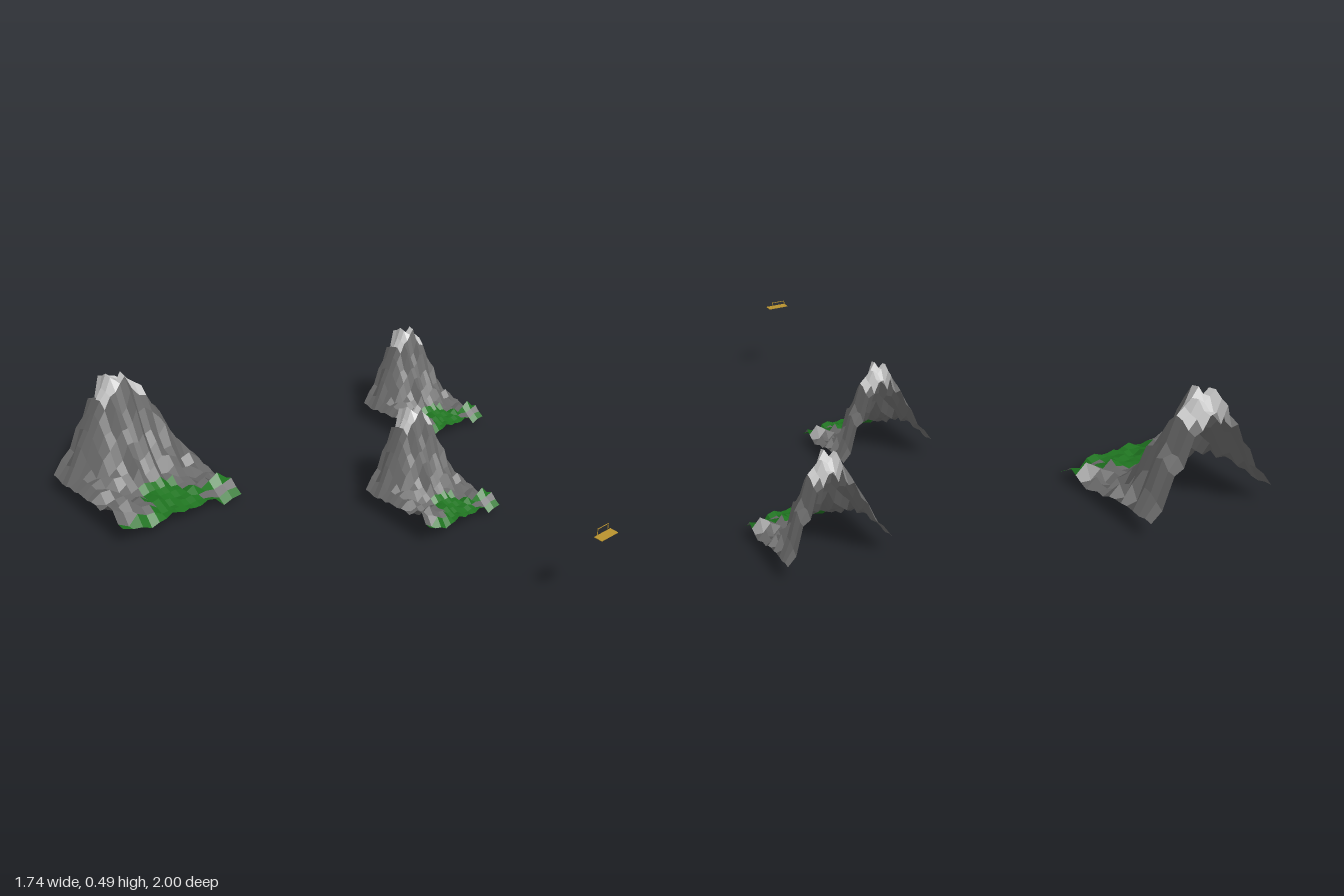
import * as THREE from 'three';

const N = 16; // cells along each side of a mountain
const COLORS = { rock: 0x696969, meadow: 0x1f7420, snowCap: 0xcccccc };

// ridge line from left to right, and how it falls away from back to front
const RIDGE = [[-1, 0.13], [-0.84, 0.28], [-0.73, 0.4], [-0.58, 0.55], [-0.43, 0.67], [-0.32, 0.78], [-0.2, 0.86],
  [-0.08, 1], [0, 0.93], [0.09, 1], [0.26, 0.9], [0.45, 0.79], [0.52, 0.65], [0.7, 0.53], [0.84, 0.31], [1, 0.13]];
const FALL = [[-1, 0.85], [-0.75, 0.95], [-0.6, 1], [-0.45, 0.88], [-0.3, 0.63], [-0.18, 0.44],
  [0, 0.27], [0.15, 0.1], [0.35, 0.03], [1, 0]];

function sample(table, t) {
  for (let i = 1; i < table.length; i++) {
    const [a, p] = table[i - 1], [b, q] = table[i];
    if (t <= b) return p + (q - p) * Math.max(0, (t - a) / (b - a));
  }
  return table[table.length - 1][1];
}

function hash(i, j) {
  const s = Math.sin(i * 127.1 + j * 311.7 + 5.3) * 43758.5453;
  return (s - Math.floor(s)) * 2 - 1;
}

// grid lines run closer together near the summit
function across(i) {
  const t = (i / N) * 2 - 1;
  return t * (0.65 + 0.35 * Math.abs(t));
}
const along = (j) => (j / N) * 2 - 1;

// relative height (0..1) at grid corner i, j
function height(i, j) {
  const u = across(i), v = along(j);
  const side = Math.min(1, Math.abs(u) * 1.3) ** 2;
  const knoll = Math.exp(-(((v - 0.68) / 0.18) ** 2)) * 0.13 * side * (u < 0 ? 1 : 0.6);
  const low = 0.13 - 0.05 * u - 0.04 * Math.max(0, v) + knoll + 0.02 * hash(i, j);
  const fall = sample(FALL, v + 0.08 * hash(i, 40));
  const ridge = sample(RIDGE, u * (1 + 0.06 * (1 + hash(j, 2))));
  const rough = Math.abs(u) === 1 || fall > 0.95 ? 0.015 : v > 0.2 ? 0.012 + 0.05 * side : 0.05;
  return Math.min(1, Math.max(0, low + (ridge - low) * fall + rough * hash(j, i + 9)));
}

function ground(i, j, h) {
  const u = across(i + 0.5), v = along(j + 0.5);
  if (h > 0.79 && Math.abs(u) < 0.36 && v < -0.45) return 'snowCap';
  const field = v > 0.2 && Math.abs(u) < (v > 0.5 ? 0.36 : 0.28) + 0.06 * hash(j, 3);
  const apron = v > 0.87 || (v > 0.55 && u > 0.3 && hash(j, 7) > 0.1);
  return field || apron ? 'meadow' : 'rock';
}

// open terrain sheet of flat-shaded quads, split into meadow, rock and snow
function mountain(name, x, z, size, y0, tall) {
  const parts = {};
  for (const key in COLORS) parts[key] = { position: [], normal: [] };
  const corner = (i, j) => new THREE.Vector3(across(i) * size / 2, height(i, j) * tall, along(j) * size / 2);
  for (let i = 0; i < N; i++) for (let j = 0; j < N; j++) {
    const a = corner(i, j), b = corner(i, j + 1), c = corner(i + 1, j + 1), d = corner(i + 1, j);
    const part = parts[ground(i, j, (a.y + b.y + c.y + d.y) / (4 * tall))];
    const normal = c.clone().sub(a).cross(d.clone().sub(b)).normalize();
    for (const p of [a, b, d, b, c, d]) {
      part.position.push(...p);
      part.normal.push(...normal);
    }
  }
  const group = new THREE.Group();
  group.name = name;
  for (const key in parts) {
    const geo = new THREE.BufferGeometry();
    for (const attribute in parts[key]) {
      geo.setAttribute(attribute, new THREE.Float32BufferAttribute(parts[key][attribute], 3));
    }
    const mesh = new THREE.Mesh(geo, new THREE.MeshStandardMaterial({ color: COLORS[key], side: THREE.DoubleSide }));
    mesh.name = key;
    group.add(mesh);
  }
  group.position.set(x, y0, z);
  return group;
}

// small floating platform with a thin frame standing on its back edge
function platform() {
  const group = new THREE.Group();
  group.name = 'platform';
  const gold = new THREE.MeshStandardMaterial({ color: 0xb8922e });
  const add = (name, w, h, d, x, y, z) => {
    const mesh = new THREE.Mesh(new THREE.BoxGeometry(w, h, d), gold);
    mesh.name = name;
    mesh.position.set(x, y, z);
    group.add(mesh);
  };
  add('deck', 0.085, 0.002, 0.035, 0, 0, 0);
  for (const s of [-1, 1]) add('framePost', 0.002, 0.027, 0.002, s * 0.027, 0.0135, -0.0165);
  add('frameBar', 0.056, 0.002, 0.002, 0, 0.027, -0.0165);
  group.position.set(0.198, 0.316, 0.9825);
  return group;
}

export function createModel() {
  const model = new THREE.Group();
  model.name = 'mountains';
  model.add(
    mountain('largeMountain', -0.602, -0.728, 0.545, 0, 0.49),
    mountain('nearMountain', 0.205, 0.107, 0.378, 0.015, 0.405),
    mountain('farMountain', 0.681, -0.47, 0.378, 0.015, 0.405),
    platform());
  return model;
}
